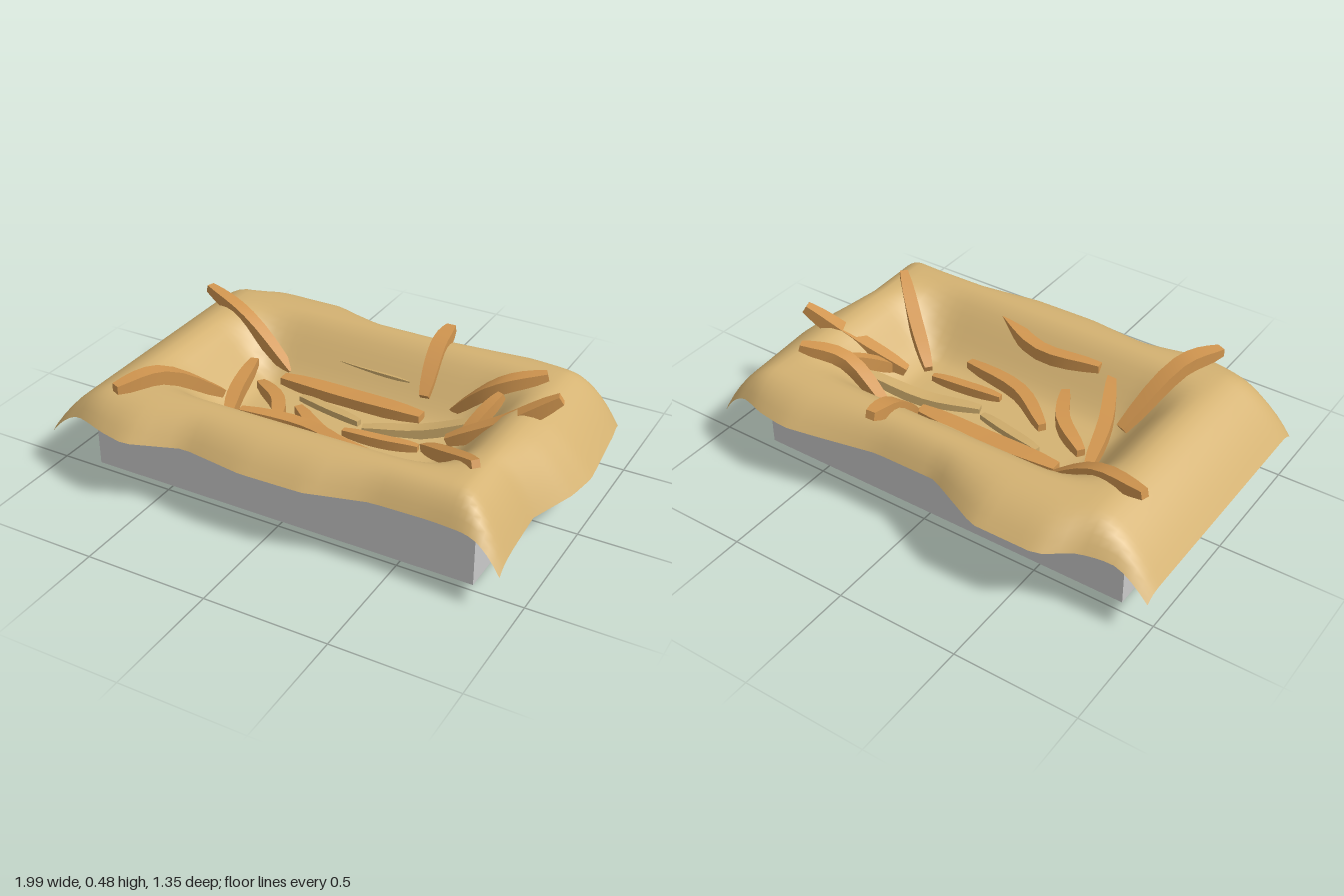
import * as THREE from 'three';

const grey = new THREE.MeshStandardMaterial({ name: 'tray grey', color: 0xcacaca });
const tan = new THREE.MeshStandardMaterial({ name: 'paper tan', color: 0xd4b272, side: THREE.DoubleSide });
const gold = new THREE.MeshStandardMaterial({ name: 'fried gold', color: 0xd0954f });
const pale = new THREE.MeshStandardMaterial({ name: 'pale fry', color: 0xcdab6b });

const add = (group, name, geometry, material) => {
  const mesh = new THREE.Mesh(geometry, material);
  mesh.name = name;
  group.add(mesh);
  return mesh;
};

// Linear interpolation through [position, value] pairs
function lerpTable(table, p) {
  let i = 1;
  while (i < table.length - 1 && p > table[i][0]) i++;
  const [a, va] = table[i - 1], [b, vb] = table[i];
  return va + (vb - va) * THREE.MathUtils.clamp((p - a) / (b - a), 0, 1);
}

// Wavy borders of the paper
const BACK = [[-1, .56], [-.87, .56], [-.73, .6], [-.62, .68], [-.35, .68], [-.1, .56], [.17, .56],
  [.42, .61], [.56, .635], [.7, .615], [.8, .58], [.94, .56]];
const FRONT = [[-1, .56], [-.86, .58], [-.7, .64], [-.57, .67], [-.35, .59], [-.08, .63], [.18, .625],
  [.42, .56], [.65, .555], [.93, .575]];
const RIGHT = [[-.57, .94], [-.3, .97], [-.1, .995], [.02, .975], [.2, .905], [.57, .93]];
const RIM_X = .72, RIM_Z = .43, RIM_Y = .395, DEPTH = .225;

// Paper sheet: sinks into the tray and folds down over its rim
function paperGeometry() {
  const g = new THREE.PlaneGeometry(2, 2, 48, 40).rotateX(-Math.PI / 2);
  const p = g.attributes.position;
  const inner = 0.66;
  const place = (s, rim, edge) => {
    const a = Math.abs(s), f = Math.max(0, (a - inner) / (1 - inner));
    return [Math.sign(s) * (f > 0 ? rim + f * (edge - rim) : a / inner * rim), f];
  };
  for (let i = 0; i < p.count; i++) {
    const s = p.getX(i), t = p.getZ(i);
    const [x, fx] = place(s, RIM_X, s < 0 ? 1 : lerpTable(RIGHT, t * .57));
    const [z, fz] = place(t, RIM_Z, lerpTable(t < 0 ? BACK : FRONT, x));
    const drop = Math.hypot(.215 * fx ** 1.8, .112 * fz ** 2.4);
    const dip = DEPTH * (1 - THREE.MathUtils.smoothstep(Math.abs(x), .42, .71))
      * (1 - THREE.MathUtils.smoothstep(Math.abs(z), .14, .43));
    p.setXYZ(i, x, RIM_Y - drop - dip, z);
  }
  g.computeVertexNormals();
  return g;
}

// Fry: a bar bent along a curve, slightly tapered at its ends
function fryGeometry(points, width, height) {
  const curve = new THREE.CatmullRomCurve3(points.map((q) => new THREE.Vector3(...q)));
  const g = new THREE.BoxGeometry(1, height, width, 8, 1, 1);
  const p = g.attributes.position;
  const Y = new THREE.Vector3(0, 1, 0);
  for (let i = 0; i < p.count; i++) {
    const u = THREE.MathUtils.clamp(p.getX(i) + .5, 0, 1);
    const taper = 1 - .4 * Math.abs(2 * u - 1) ** 3;
    const tangent = curve.getTangent(u);
    const side = tangent.clone().cross(Y).normalize();
    const up = side.clone().cross(tangent);
    const v = curve.getPoint(u)
      .addScaledVector(side, p.getZ(i) * taper)
      .addScaledVector(up, p.getY(i) * taper);
    p.setXYZ(i, v.x, v.y, v.z);
  }
  g.computeVertexNormals();
  return g;
}

// Curve points, width, height
const GOLD_FRIES = [
  [[[-.85, .43, -.35], [-.62, .37, -.28], [-.38, .2, -.23]], .055, .055],
  [[[.21, .425, -.53], [.215, .385, -.4], [.235, .25, -.24]], .065, .055],
  [[[.36, .22, -.25], [.55, .38, -.26], [.71, .43, -.34]], .06, .05],
  [[[.57, .36, -.23], [.53, .3, -.13], [.49, .23, -.03]], .045, .05],
  [[[.44, .23, -.02], [.65, .33, -.08], [.84, .46, -.15]], .06, .06],
  [[[-.51, .25, -.16], [-.43, .26, .1], [-.32, .3, .33]], .055, .055],
  [[[-.42, .22, -.06], [-.27, .23, .05], [-.18, .24, .21]], .055, .055],
  [[[-.67, .435, .56], [-.59, .43, .38], [-.49, .25, .12]], .065, .055],
  [[[-.38, .2, -.17], [-.06, .19, -.175], [.26, .2, -.17]], .08, .05],
  [[[.38, .22, .05], [.55, .31, .19], [.72, .415, .34]], .055, .05],
  [[[.04, .2, .075], [.2, .195, .06], [.35, .2, .04]], .04, .04],
  [[[-.2, .2, .01], [0, .2, .15], [.28, .2, .2]], .055, .055],
  [[[-.27, .33, .32], [0, .32, .295], [.26, .35, .4]], .055, .055],
];
const PALE_FRIES = [
  [[[-.27, .265, -.31], [-.06, .26, -.3], [.15, .265, -.29]], .045, .045],
  [[[-.25, .18, -.1], [-.1, .175, -.07], [.05, .18, -.04]], .04, .04],
  [[[.08, .18, -.01], [.3, .19, -.09], [.55, .27, -.17]], .055, .04],
];

export function createModel() {
  const model = new THREE.Group();
  model.name = 'fries in a paper lined tray';

  // Open tray
  const tray = new THREE.Group();
  tray.name = 'tray';
  model.add(tray);
  const cx = -.03, cz = .005, w = 1.64, d = .93, h = .28, wall = .015;
  add(tray, 'trayFloor', new THREE.BoxGeometry(w, wall, d), grey).position.set(cx, wall / 2, cz);
  for (const s of [-1, 1]) {
    add(tray, 'trayLongWall', new THREE.BoxGeometry(w, h, wall), grey)
      .position.set(cx, h / 2, cz + s * (d - wall) / 2);
    add(tray, 'trayShortWall', new THREE.BoxGeometry(wall, h, d), grey)
      .position.set(cx + s * (w - wall) / 2, h / 2, cz);
  }

  add(model, 'paperLiner', paperGeometry(), tan);

  // Scattered fries
  const fries = new THREE.Group();
  fries.name = 'fries';
  model.add(fries);
  for (const f of GOLD_FRIES) add(fries, 'goldenFry', fryGeometry(...f), gold);
  for (const f of PALE_FRIES) add(fries, 'paleFry', fryGeometry(...f), pale);
  return model;
}
